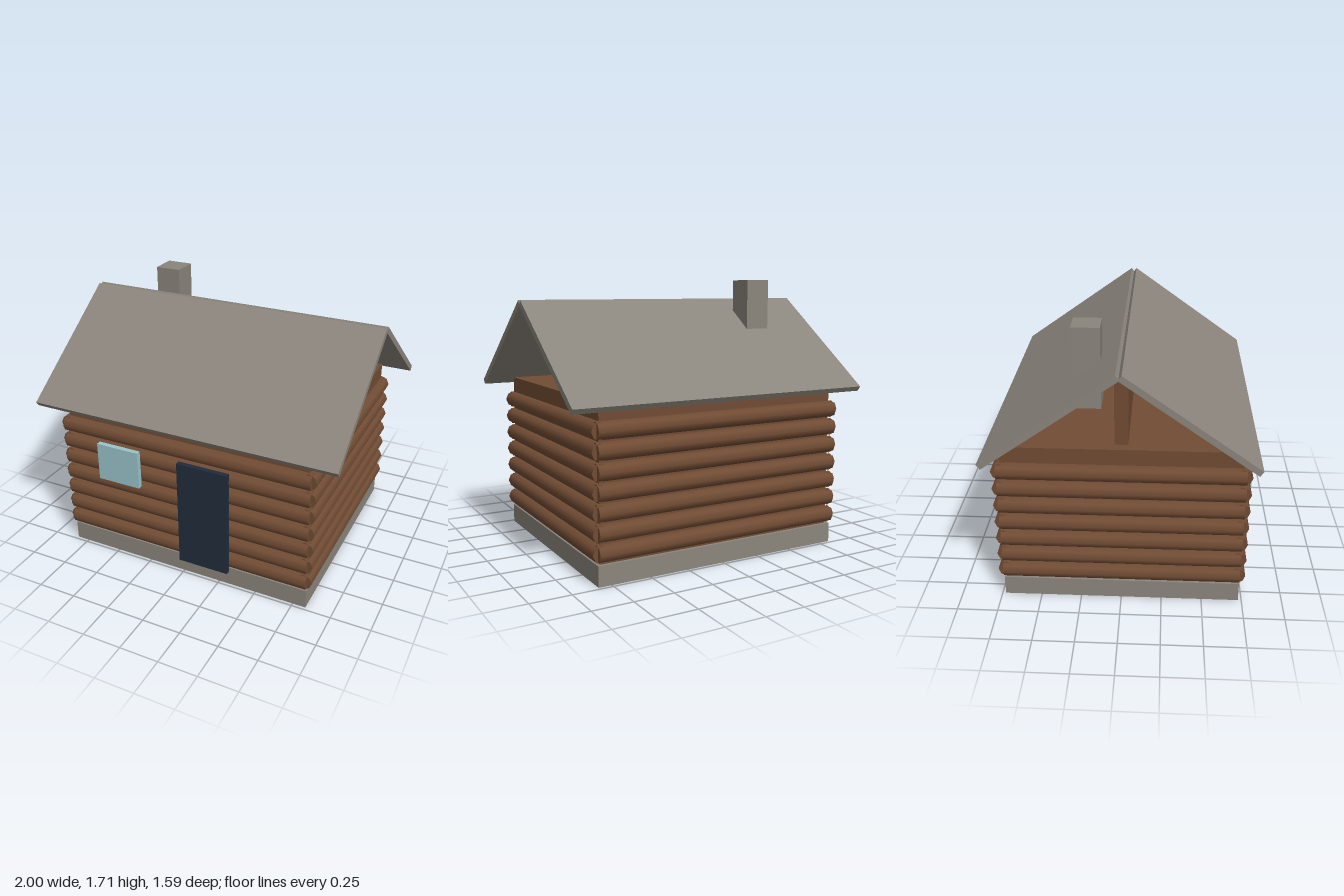
import * as THREE from 'three';

const material = (name, color) => {
  const m = new THREE.MeshStandardMaterial({ color });
  m.name = name;
  return m;
};

export function createModel() {
  const cabin = new THREE.Group();
  cabin.name = 'logCabin';

  const stone = material('greyStone', 0x8b857c);
  const wood = material('brownWood', 0x714c34);
  const glass = material('paleBlueGlass', 0x9ac4cc);
  const doorPaint = material('darkNavy', 0x202c3b);

  const add = (name, geometry, mat, x, y, z) => {
    const mesh = new THREE.Mesh(geometry, mat);
    mesh.name = name;
    mesh.position.set(x, y, z);
    cabin.add(mesh);
    return mesh;
  };
  const box = (name, mat, w, h, d, x, y, z) =>
    add(name, new THREE.BoxGeometry(w, h, d), mat, x, y, z);

  // Stone base and the plain wall core behind the logs
  box('foundation', stone, 1.667, 0.125, 1.458, 0, 0.0625, 0);
  box('wallCore', wood, 1.625, 0.917, 1.417, 0, 0.583, 0);

  // Seven courses of logs on all four sides
  const longLog = new THREE.CylinderGeometry(0.053, 0.053, 1.667, 8).rotateZ(Math.PI / 2);
  const sideLog = new THREE.CylinderGeometry(0.053, 0.053, 1.458, 8).rotateX(Math.PI / 2);
  for (let i = 0; i < 7; i++) {
    const y = 0.1885 + i * 0.1165;
    add('frontLog', longLog, wood, 0, y, 0.71);
    add('backLog', longLog, wood, 0, y, -0.71);
    add('leftLog', sideLog, wood, 0.8125, y, 0);
    add('rightLog', sideLog, wood, -0.8125, y, 0);
  }

  // Upright board that carries the ridge
  box('ridgeBoard', wood, 1.5, 0.479, 0.08, 0, 1.281, 0);

  // Two sloping roof slabs
  for (const side of [1, -1]) {
    const slab = box(side > 0 ? 'frontRoof' : 'backRoof', stone, 2, 0.0375, 0.958, 0, 1.293, side * 0.396);
    slab.rotation.x = side * 0.62;
  }

  // Chimney through the back slope
  box('chimney', stone, 0.167, 0.5, 0.167, -0.542, 1.459, -0.208);

  // Door and window on the front
  box('door', doorPaint, 0.333, 0.708, 0.032, 0.167, 0.479, 0.775);
  box('window', glass, 0.29, 0.25, 0.032, -0.417, 0.708, 0.775);

  return cabin;
}
